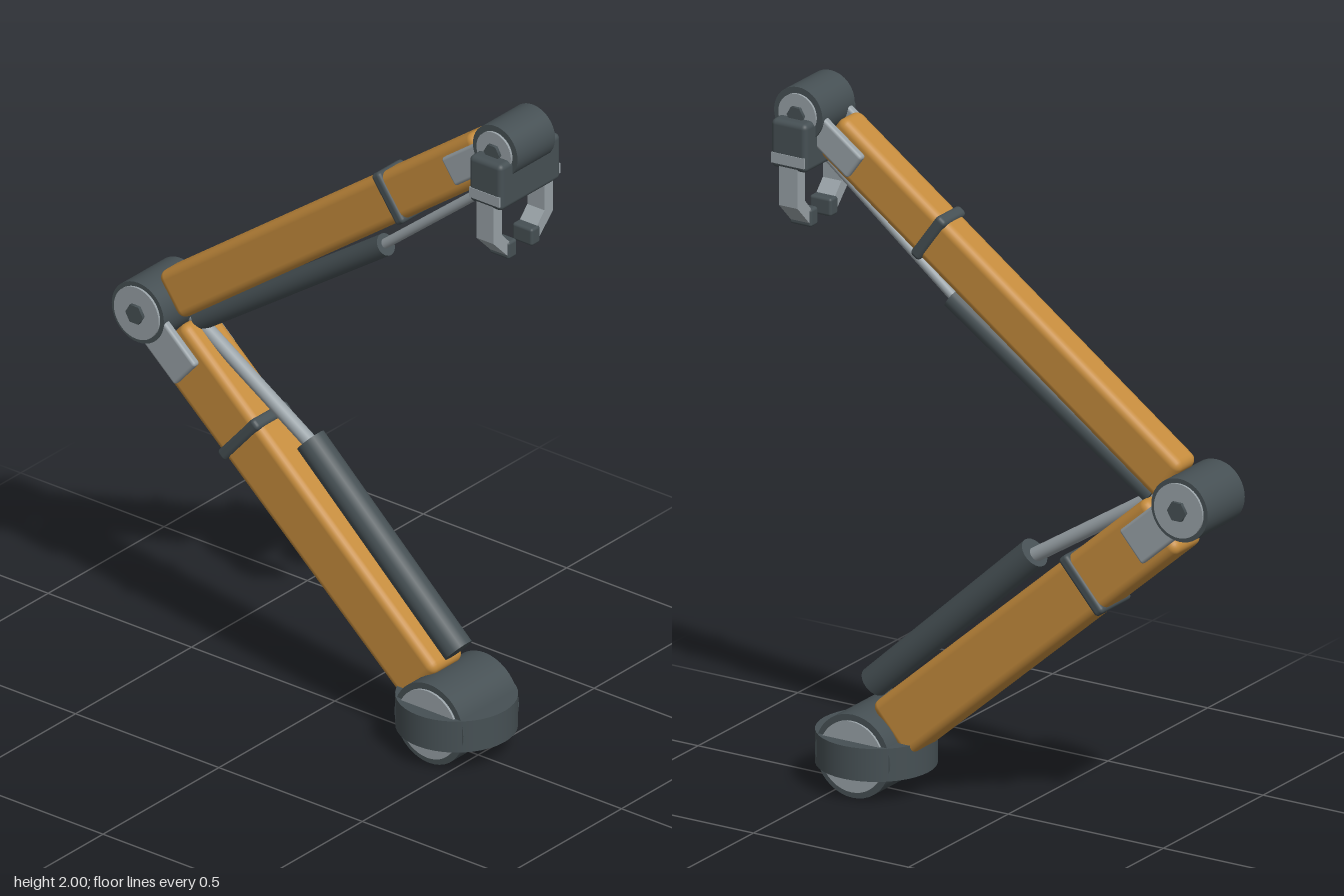
import * as THREE from 'three';
import { RoundedBoxGeometry } from 'three/addons/geometries/RoundedBoxGeometry.js';

const material = (name, color) => {
  const m = new THREE.MeshStandardMaterial({ color });
  m.name = name;
  return m;
};

export function createModel() {
  const orange = material('orange paint', 0xc48b3c);
  const dark = material('dark grey metal', 0x465054);
  const steel = material('light steel', 0x98a1a6);

  const root = new THREE.Group();
  root.name = 'roboticArm';

  // Joint centres in the side plane
  const shoulder = new THREE.Vector3(0, 0.12, 0.425);
  const elbow = new THREE.Vector3(0, 1.026, -0.612);
  const wrist = new THREE.Vector3(0, 1.922, 0.625);

  const add = (parent, name, geometry, mat, x = 0, y = 0, z = 0) => {
    const mesh = new THREE.Mesh(geometry, mat);
    mesh.name = name;
    mesh.position.set(x, y, z);
    parent.add(mesh);
    return mesh;
  };
  const block = (w, h, d, r) => new RoundedBoxGeometry(w, h, d, 3, r);

  // Cylinder lying along x
  const drum = (r, length, sides = 40) =>
    new THREE.CylinderGeometry(r, r, length, sides).rotateZ(Math.PI / 2);

  // Group whose local y axis runs from one point to another in the side plane
  const frameBetween = (name, from, to) => {
    const g = new THREE.Group();
    g.name = name;
    g.position.copy(from);
    g.rotation.x = Math.atan2(to.z - from.z, to.y - from.y);
    root.add(g);
    return g;
  };

  // Joint drum with steel end caps and hexagonal bolts
  const joint = (name, centre, r, half, capR, boltR) => {
    const g = new THREE.Group();
    g.name = name;
    g.position.copy(centre);
    root.add(g);
    add(g, 'jointDrum', drum(r, half * 2), dark);
    add(g, 'jointCaps', drum(capR, half * 2 + 0.014), steel);
    if (boltR) add(g, 'hexBolts', drum(boltR, half * 2 + 0.034, 6), dark);
  };
  joint('shoulderJoint', shoulder, 0.12, 0.12, 0.102, 0);
  joint('elbowJoint', elbow, 0.091, 0.093, 0.078, 0.03);
  joint('wristJoint', wrist, 0.078, 0.081, 0.06, 0.027);

  // Turntable around the shoulder
  add(root, 'baseRing', new THREE.CylinderGeometry(0.167, 0.167, 0.095, 40), dark, 0, 0.117, 0.425);

  // Arm beam with a clamp band and a bracket on each side at the far joint
  const arm = (name, from, to, o) => {
    const g = frameBetween(name, from, to);
    const length = from.distanceTo(to);
    const beam = length - o.start - o.end;
    add(g, 'armBeam', block(o.w, beam, o.d, 0.025), orange, 0, o.start + beam / 2, 0);
    add(g, 'clampBand', block(o.w + 0.014, 0.035, o.d + 0.014, 0.012), dark, 0, o.band, 0);
    for (const s of [-1, 1]) {
      add(g, 'jointBracket', block(0.026, 0.215, o.plate, 0.009), steel,
        s * (o.w / 2 + 0.01), length - 0.1075, 0);
    }
  };
  arm('lowerArm', shoulder, elbow, { w: 0.138, d: 0.176, start: 0.1, end: 0.1, band: 0.936, plate: 0.112 });
  arm('upperArm', elbow, wrist, { w: 0.1, d: 0.142, start: 0.08, end: 0.09, band: 1.035, plate: 0.085 });

  // Hydraulic ram: barrel from a to b, rod from b to c, points given as [y, z]
  const ram = (name, a, b, c, barrelR, rodR) => {
    const [p, q, t] = [a, b, c].map(([y, z]) => new THREE.Vector3(0, y, z));
    const segment = (part, from, to, r, mat) => {
      const l = from.distanceTo(to);
      add(frameBetween(name, from, to), part, new THREE.CylinderGeometry(r, r, l, 24), mat, 0, l / 2, 0);
    };
    segment('ramBarrel', p, q, barrelR, dark);
    segment('ramRod', q.clone().lerp(p, 0.05), t, rodR, steel);
  };
  ram('lowerRam', [0.297, 0.432], [0.772, -0.085], [1.02, -0.49], 0.044, 0.021);
  ram('upperRam', [1.015, -0.47], [1.457, 0.178], [1.8, 0.6], 0.032, 0.014);

  // Gripper palm
  const gripper = new THREE.Group();
  gripper.name = 'gripper';
  root.add(gripper);
  add(gripper, 'palm', block(0.26, 0.14, 0.115, 0.015), dark, 0, 1.843, 0.627);

  // Bent finger outline, extruded front to back
  const outline = new THREE.Shape(
    [[0.128, 1.79], [0.092, 1.79], [0.092, 1.682], [0.045, 1.632], [0.065, 1.605], [0.128, 1.668]]
      .map(([x, y]) => new THREE.Vector2(x, y)));
  for (const s of [-1, 1]) {
    const finger = new THREE.ExtrudeGeometry(outline, { depth: 0.06, bevelEnabled: false });
    finger.translate(0, 0, -0.03);
    if (s < 0) finger.rotateY(Math.PI);
    add(gripper, 'finger', finger, steel, 0, 0, 0.627);
    add(gripper, 'fingerTip', block(0.038, 0.052, 0.07, 0.008), dark, s * 0.05, 1.622, 0.627);
    add(gripper, 'knuckleStrip', new THREE.BoxGeometry(0.006, 0.03, 0.105), steel, s * 0.129, 1.803, 0.627);
  }

  return root;
}
